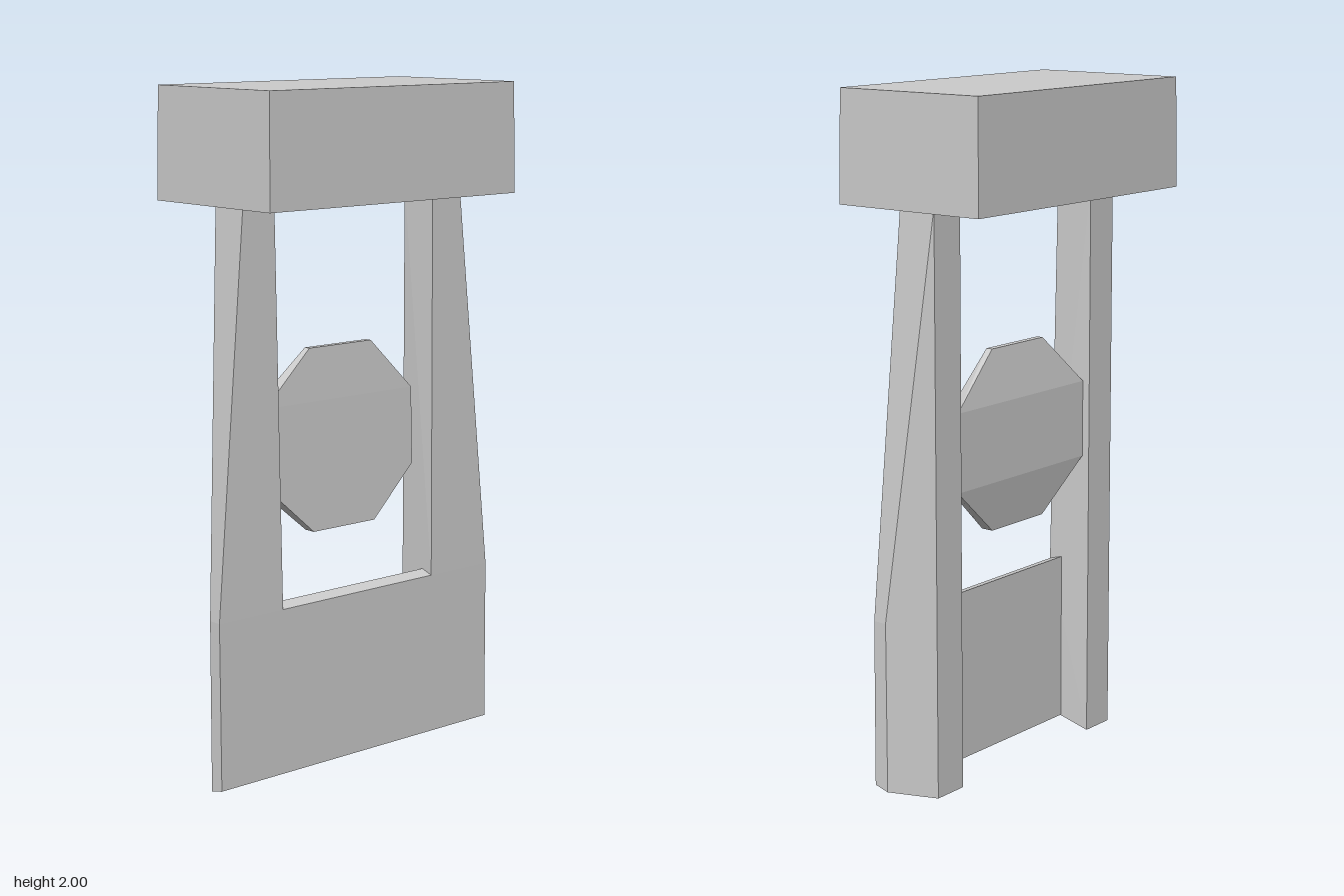
import * as THREE from 'three';
import { ConvexGeometry } from 'three/addons/geometries/ConvexGeometry.js';

const material = new THREE.MeshStandardMaterial({ color: 0xcccccc, flatShading: true });

// Faceted solid spanning a few corner points
function solid(name, corners) {
  const mesh = new THREE.Mesh(
    new ConvexGeometry(corners.map((c) => new THREE.Vector3(...c))), material);
  mesh.name = name;
  return mesh;
}

export function createModel() {
  const model = new THREE.Group();

  // Head block, slightly narrower at the top
  const head = [];
  for (const z of [-1, 1]) {
    head.push([-0.47, 1.68, z * 0.247], [0.45, 1.68, z * 0.247],
      [-0.465, 2, z * 0.243], [0.445, 2, z * 0.243]);
  }
  model.add(solid('headBlock', head));

  // Tapered legs with chamfered outer back corners and a sloping foot
  for (const s of [-1, 1]) {
    const leg = [
      [0.30, 1.69, 0.06], [0.41, 1.69, 0.06], [0.41, 1.69, -0.06], [0.30, 1.69, -0.06],
      [0.29, 0.53, 0.077], [0.52, 0.53, 0.077], [0.52, 0.53, 0.035],
      [0.29, 0.042, 0.08], [0.52, 0.042, 0.08], [0.52, 0.03, 0.035],
      [0.41, 0, -0.06], [0.30, 0, -0.06],
    ].map(([x, y, z]) => [s * x, y, z]);
    model.add(solid(s > 0 ? 'leftLeg' : 'rightLeg', leg));
  }

  // Thin front panel joining the legs
  const panel = [];
  for (const x of [-0.3, 0.3]) {
    panel.push([x, 0.53, 0.077], [x, 0.542, 0.035], [x, 0.042, 0.08], [x, 0.03, 0.035]);
  }
  model.add(solid('lowerPanel', panel));

  // Octagonal plate: flat front, back ridged along the middle band
  const plate = [];
  for (const [x, y, zFront, zBack] of [
    [-0.295, 1.1, 0.01, -0.04], [-0.125, 1.255, 0.002, -0.018],
    [0.11, 1.255, 0.002, -0.018], [0.29, 1.1, 0.01, -0.04],
    [0.29, 0.87, 0.016, -0.04], [0.11, 0.72, 0.02, -0.018],
    [-0.125, 0.72, 0.02, -0.018], [-0.295, 0.87, 0.016, -0.04],
  ]) {
    plate.push([x > 0.2 ? x - 0.025 : x, y, zFront], [x, y, zBack]);
  }
  model.add(solid('octagonPlate', plate));

  return model;
}
